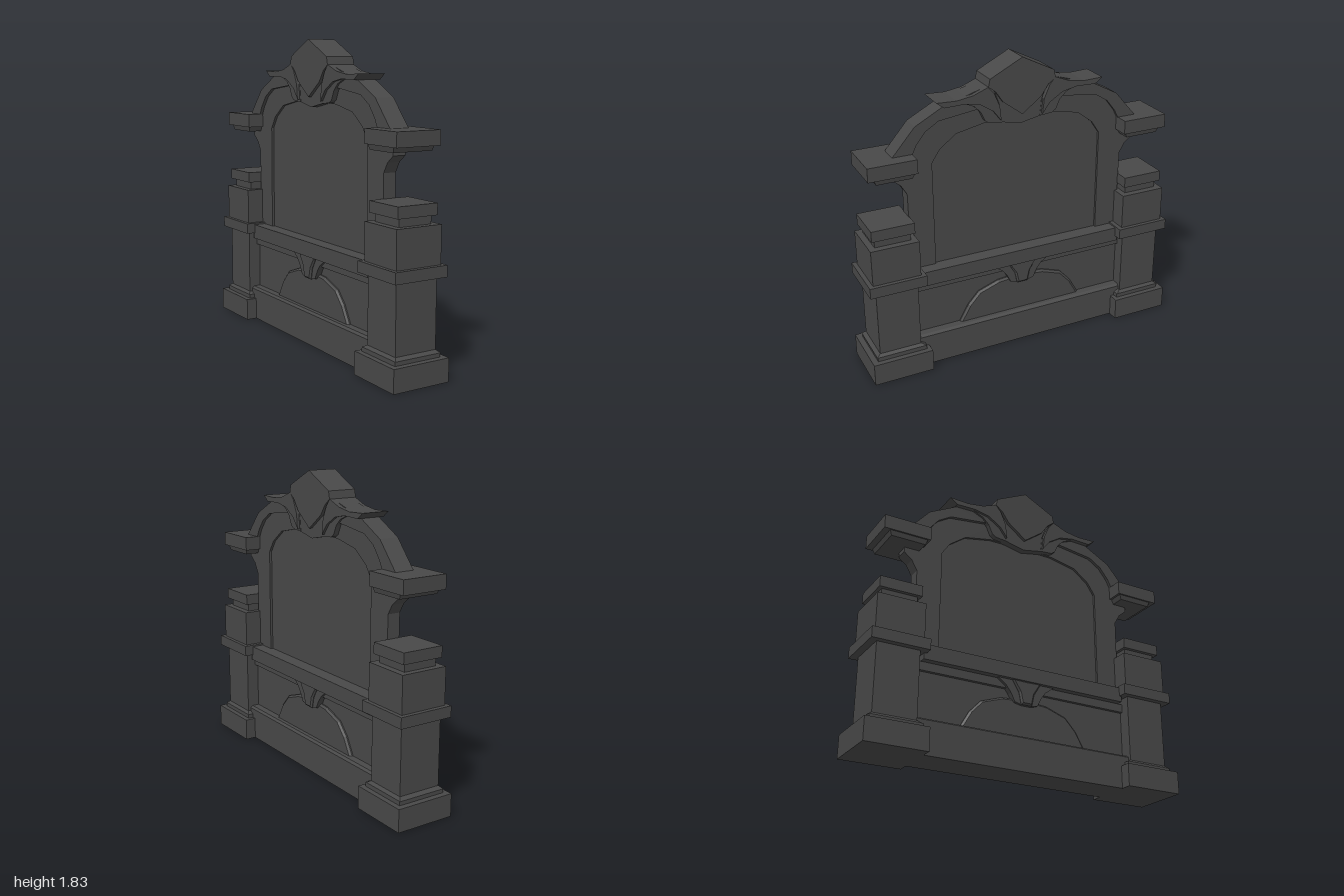
import * as THREE from 'three';

const material = new THREE.MeshStandardMaterial({ color: 0x484848, flatShading: true, side: THREE.DoubleSide });

// Half outline [z, y] from the middle of the top outward; returns the closed symmetric outline
const mirror = (half) => [...half, ...half.slice().reverse().map(([z, y]) => [-z, y])]
  .filter(([z, y], i, all) => i === 0 || z !== all[i - 1][0] || y !== all[i - 1][1]);
const flip = (points) => points.map(([z, y]) => [-z, y]);
const toVectors = (points) => points.map(([z, y]) => new THREE.Vector2(z, y));

export function createModel() {
  const group = new THREE.Group();

  function add(name, geometry) {
    const mesh = new THREE.Mesh(geometry, material);
    mesh.name = name;
    group.add(mesh);
    return mesh;
  }

  // Box given by half thickness in x and ranges in y and z
  function box(name, halfX, y0, y1, z0, z1) {
    const mesh = add(name, new THREE.BoxGeometry(halfX * 2, y1 - y0, Math.abs(z1 - z0)));
    mesh.position.set(0, (y0 + y1) / 2, (z0 + z1) / 2);
  }

  // Slab with a [z, y] outline, centred on x = 0; bevel narrows its two faces
  function slab(name, outline, halfX, hole, bevel = 0) {
    const shape = new THREE.Shape(toVectors(outline));
    if (hole) shape.holes.push(new THREE.Path(toVectors(hole)));
    const depth = (halfX - bevel) * 2;
    const geometry = new THREE.ExtrudeGeometry(shape, {
      depth, bevelEnabled: bevel > 0, bevelThickness: bevel, bevelSize: bevel,
      bevelOffset: -bevel, bevelSegments: 1,
    });
    geometry.translate(0, 0, -depth / 2);
    geometry.rotateY(-Math.PI / 2);
    add(name, geometry);
  }

  // Square block whose bottom and top differ in size: half widths in x and z
  function taper(name, bottom, top, y0, y1, z) {
    const geometry = new THREE.BoxGeometry(2, y1 - y0, 2);
    const p = geometry.attributes.position;
    for (let i = 0; i < p.count; i++) {
      const [hx, hz] = p.getY(i) < 0 ? bottom : top;
      p.setX(i, p.getX(i) * hx);
      p.setZ(i, p.getZ(i) * hz);
    }
    geometry.computeVertexNormals();
    add(name, geometry).position.set(0, (y0 + y1) / 2, z);
  }

  for (const s of [1, -1]) {
    // Posts: half x, y range, z range
    for (const [name, hx, y0, y1, z0, z1] of [
      ['postBase', 0.182, 0, 0.135, 0.635, 1],
      ['postFoot', 0.15, 0.135, 0.16, 0.66, 0.965],
      ['postShaft', 0.133, 0.16, 0.58, 0.69, 0.945],
      ['postBand', 0.17, 0.575, 0.64, 0.645, 0.988],
      ['postBlock', 0.146, 0.64, 0.857, 0.673, 0.962],
      ['postNeck', 0.105, 0.857, 0.905, 0.71, 0.925],
      ['postCap', 0.129, 0.905, 0.97, 0.69, 0.947],
      ['archCapital', 0.142, 1.27, 1.353, 0.66, 0.947],
    ]) box(name, hx, y0, y1, s * z0, s * z1);
    taper('postFootBevel', [0.15, 0.152], [0.133, 0.128], 0.16, 0.175, s * 0.817);
    taper('capitalMoulding', [0.125, 0.105], [0.132, 0.117], 1.24, 1.27, s * 0.792);
  }

  // Upper board with a sunken panel
  const opening = mirror([[0, 1.46], [0.22, 1.455], [0.39, 1.42], [0.49, 1.345], [0.54, 1.27], [0.54, 0.6]]);
  const archOuter = [[0, 1.71], [0.2, 1.68], [0.47, 1.6], [0.64, 1.51], [0.78, 1.35]];
  slab('upperBoard', mirror([[0, 1.7], [0.2, 1.67], [0.47, 1.59], [0.64, 1.5], [0.77, 1.35], [0.78, 1.21],
    [0.73, 1.17], [0.695, 1.11], [0.69, 0.56]]), 0.04, opening);
  slab('upperPanel', opening, 0.025);

  // Thick arch rim above the board
  const rimInner = [[0.67, 1.33], [0.635, 1.4], [0.58, 1.47], [0.5, 1.52], [0.27, 1.55], [0, 1.555]];
  slab('archRim', mirror([...archOuter, ...rimInner].slice(0, -1).concat([[0, 1.555]])), 0.06);

  // Lower part: plinth, panel, mouldings and shelf
  box('shelf', 0.115, 0.54, 0.63, -0.66, 0.66);
  box('shelfMoulding', 0.075, 0.49, 0.54, -0.7, 0.7);
  box('lowerPanel', 0.055, 0.18, 0.54, -0.7, 0.7);
  box('plinth', 0.115, 0, 0.195, -0.7, 0.7);
  taper('plinthBevel', [0.115, 0.69], [0.1, 0.69], 0.195, 0.207, 0);
  slab('lowerLunette', mirror([[0, 0.442], [0.15, 0.43], [0.28, 0.385], [0.35, 0.31], [0.41, 0.205], [0.4, 0.19]]),
    0.075, null, 0.012);

  // Small keystone with a leaf on each side under the shelf
  slab('lowerKeystone', mirror([[0, 0.545], [0.095, 0.545], [0.05, 0.47], [0.035, 0.4], [0, 0.4]]), 0.105, null, 0.01);
  const lowerLeaf = [[0.19, 0.545], [0.13, 0.5], [0.1, 0.46], [0.075, 0.41], [0.03, 0.4], [0.045, 0.47], [0.09, 0.545]];

  // Crest: shield, stem and leaves
  slab('crestShield', mirror([[0, 1.825], [0.2, 1.725], [0.21, 1.68], [0.165, 1.645], [0.12, 1.58], [0, 1.49]]), 0.09);
  slab('crestStem', mirror([[0, 1.6], [0.16, 1.63], [0.13, 1.55], [0.12, 1.455], [0, 1.43]]), 0.07);
  const crestLeaf = [[0.21, 1.68], [0.3, 1.645], [0.4, 1.63], [0.52, 1.635], [0.475, 1.6], [0.35, 1.603],
    [0.26, 1.585], [0.18, 1.535], [0.13, 1.47], [0.14, 1.56], [0.175, 1.64]];
  const crestCurl = [[0.36, 1.605], [0.29, 1.575], [0.25, 1.535], [0.225, 1.48], [0.2, 1.463], [0.12, 1.455],
    [0.13, 1.55], [0.2, 1.62]];
  for (const side of [(p) => p, flip]) {
    slab('lowerLeaf', side(lowerLeaf), 0.092);
    slab('crestLeaf', side(crestLeaf), 0.088);
    slab('crestCurl', side(crestCurl), 0.072);
  }
  return group;
}
